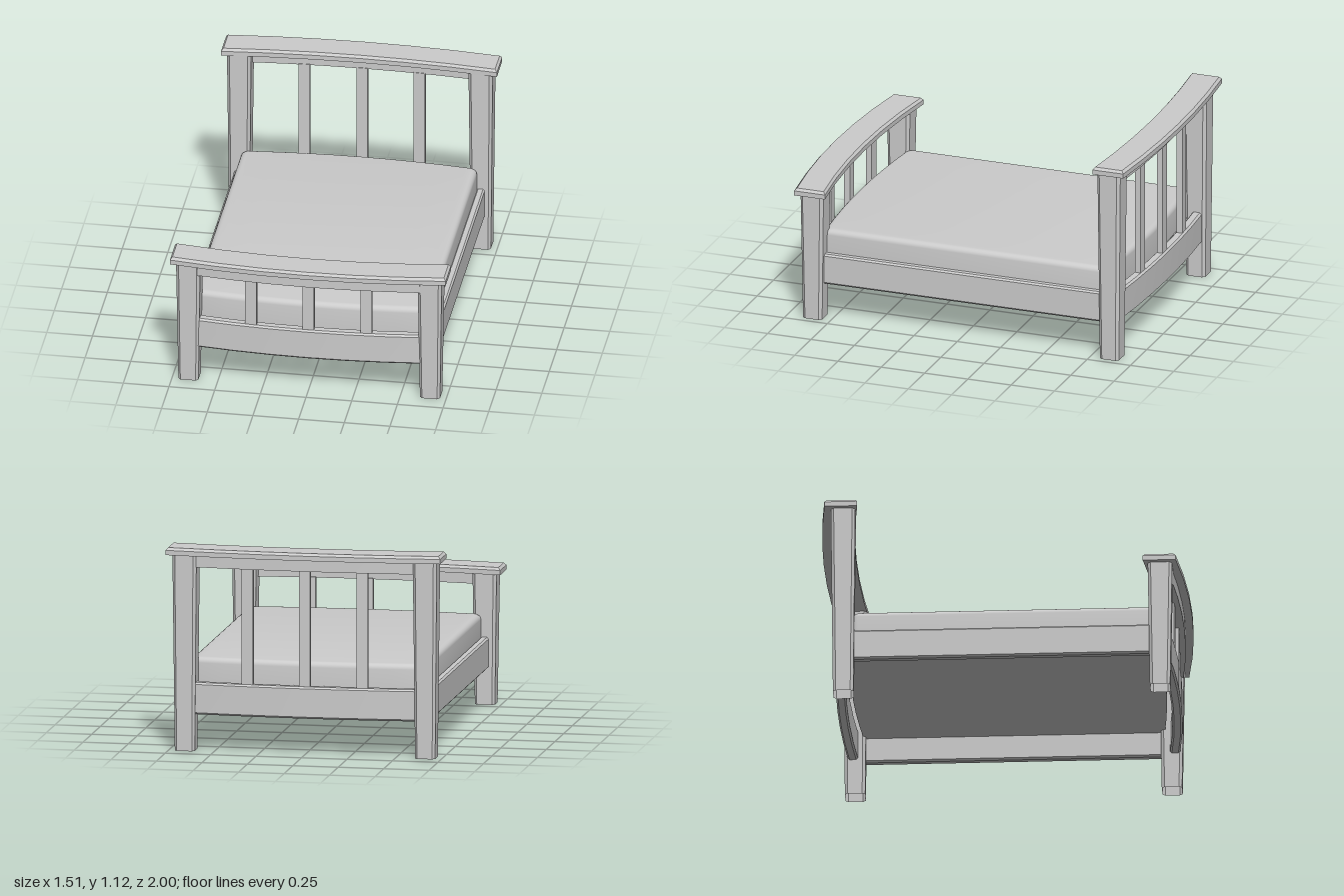
import * as THREE from 'three';
import { toCreasedNormals } from 'three/addons/utils/BufferGeometryUtils.js';

const material = new THREE.MeshStandardMaterial({ color: 0xcccccc });
const openMaterial = new THREE.MeshStandardMaterial({ color: 0xcccccc, side: THREE.DoubleSide });

// Plan outline of half width w between back(x) and front(x), corners cut by radius c in k steps
function outline(w, back, front, inset, { c = 0, k = 1, n = 1 } = {}) {
  const half = [];
  const corner = [];
  if (c > 0) {
    for (let i = 0; i <= k; i++) {
      const a = (i / k) * Math.PI / 2;
      corner.push([w - c * (1 - Math.cos(a)), c * (1 - Math.sin(a))]);
    }
  } else corner.push([w, 0]);
  const inner = w - c;
  for (const [x, cut] of corner) half.push([-x, cut]);
  for (let i = 1; i < n; i++) half.push([-inner + 2 * inner * i / n, 0]);
  for (const [x, cut] of [...corner].reverse()) half.push([x, cut]);
  const s = (w - inset) / w;
  const far = half.map(([x, cut]) => [x * s, back(x) + cut + inset]);
  const near = half.map(([x, cut]) => [x * s, front(x) - cut - inset]);
  return [...far, ...near.reverse()];
}

// Stack outlines at levels [y, inset]; the bottom may stay open
function stack(name, w, back, front, levels, options = {}) {
  const rings = levels.map(([y, inset]) =>
    outline(w, back, front, inset, options).map(([x, z]) => [x, y, z]));
  const positions = [];
  const tri = (...points) => points.forEach((p) => positions.push(...p));
  const count = rings[0].length;
  for (let l = 0; l + 1 < rings.length; l++) {
    for (let j = 0; j < count; j++) {
      const m = (j + 1) % count;
      const [a, b, c, d] = [rings[l][j], rings[l][m], rings[l + 1][m], rings[l + 1][j]];
      tri(a, d, b);
      tri(b, d, c);
    }
  }
  const cap = (r, up) => {
    for (let i = 0; i + 1 < count / 2; i++) {
      const [a, b, c, d] = [r[i], r[count - 1 - i], r[count - 2 - i], r[i + 1]];
      if (up) { tri(a, b, d); tri(d, b, c); } else { tri(a, d, b); tri(d, c, b); }
    }
  };
  cap(rings[rings.length - 1], true);
  if (!options.open) cap(rings[0], false);
  let geometry = new THREE.BufferGeometry();
  geometry.setAttribute('position', new THREE.Float32BufferAttribute(positions, 3));
  geometry = toCreasedNormals(geometry, 0.5);
  const mesh = new THREE.Mesh(geometry, options.open ? openMaterial : material);
  mesh.name = name;
  return mesh;
}

// Bowed bar: side is +1 at the foot and -1 at the head
function bowedBar(name, side, w, outer, inner, sag, levels) {
  const curve = (z) => (x) => side * (z - sag * (x / 0.755) ** 2);
  const [back, front] = side > 0 ? [inner, outer] : [outer, inner];
  return stack(name, w, curve(back), curve(front), levels, { n: 6 });
}

function endBoard(name, side, top, sag, bow) {
  const group = new THREE.Group();
  group.name = name;

  // Tapered posts with chamfered corners and open feet
  for (const x of [-0.661, 0.661]) {
    const post = stack('post', 0.066, () => -0.066, () => 0.066,
      [[0, 0.011], [top, 0]], { c: 0.016, open: true });
    post.position.set(x, 0, side * (side > 0 ? 0.853 : 0.861));
    group.add(post);
  }

  // Overhanging cap with a bevelled top edge
  group.add(bowedBar('cap', side, 0.755, bow.cap, bow.capInner, sag,
    [[top, 0], [top + 0.026, 0], [top + 0.04, 0.012]]));

  // Upper and lower rails
  group.add(bowedBar('upperRail', side, 0.62, bow.upper, bow.upper - 0.05, sag,
    [[top - 0.07, 0], [top, 0]]));
  group.add(bowedBar('lowerRail', side, 0.62, bow.lower, bow.lower - 0.055, sag,
    [[0.2, 0.01], [0.21, 0], [0.365, 0], [0.375, 0.01]]));

  // Three slats that follow the bow
  const height = top - 0.07 - 0.37;
  for (const x of [-0.315, 0, 0.315]) {
    const slat = new THREE.Mesh(new THREE.BoxGeometry(0.062, height + 0.01, 0.032), material);
    slat.name = 'slat';
    slat.position.set(x, 0.37 + height / 2, side * (bow.lower - 0.027 - sag * (x / 0.755) ** 2));
    slat.rotation.y = side * Math.atan(2 * sag * x / 0.755 ** 2);
    group.add(slat);
  }
  return group;
}

export function createModel() {
  const bed = new THREE.Group();
  bed.name = 'bed';

  bed.add(endBoard('footboard', 1, 0.72, 0.055,
    { cap: 0.995, capInner: 0.817, upper: 0.952, lower: 0.935 }));
  bed.add(endBoard('headboard', -1, 1.08, 0.04,
    { cap: 1.0, capInner: 0.822, upper: 0.937, lower: 0.926 }));

  // Side rails with bevelled edges
  for (const x of [-0.6625, 0.6625]) {
    const rail = stack('sideRail', 0.0225, () => -0.83, () => 0.83,
      [[0.2, 0.009], [0.21, 0], [0.362, 0], [0.372, 0.009]]);
    rail.position.x = x;
    bed.add(rail);
  }

  // Mattress with bowed ends and a rounded top edge
  const levels = [[0.34, 0]];
  for (let i = 0; i <= 5; i++) {
    const a = (i / 5) * Math.PI / 2;
    levels.push([0.47 + 0.03 * Math.sin(a), 0.03 * (1 - Math.cos(a))]);
  }
  const end = (x) => 0.85 - 0.05 * (x / 0.755) ** 2;
  bed.add(stack('mattress', 0.645, (x) => -end(x), end, levels, { c: 0.03, k: 4, n: 8 }));

  return bed;
}
